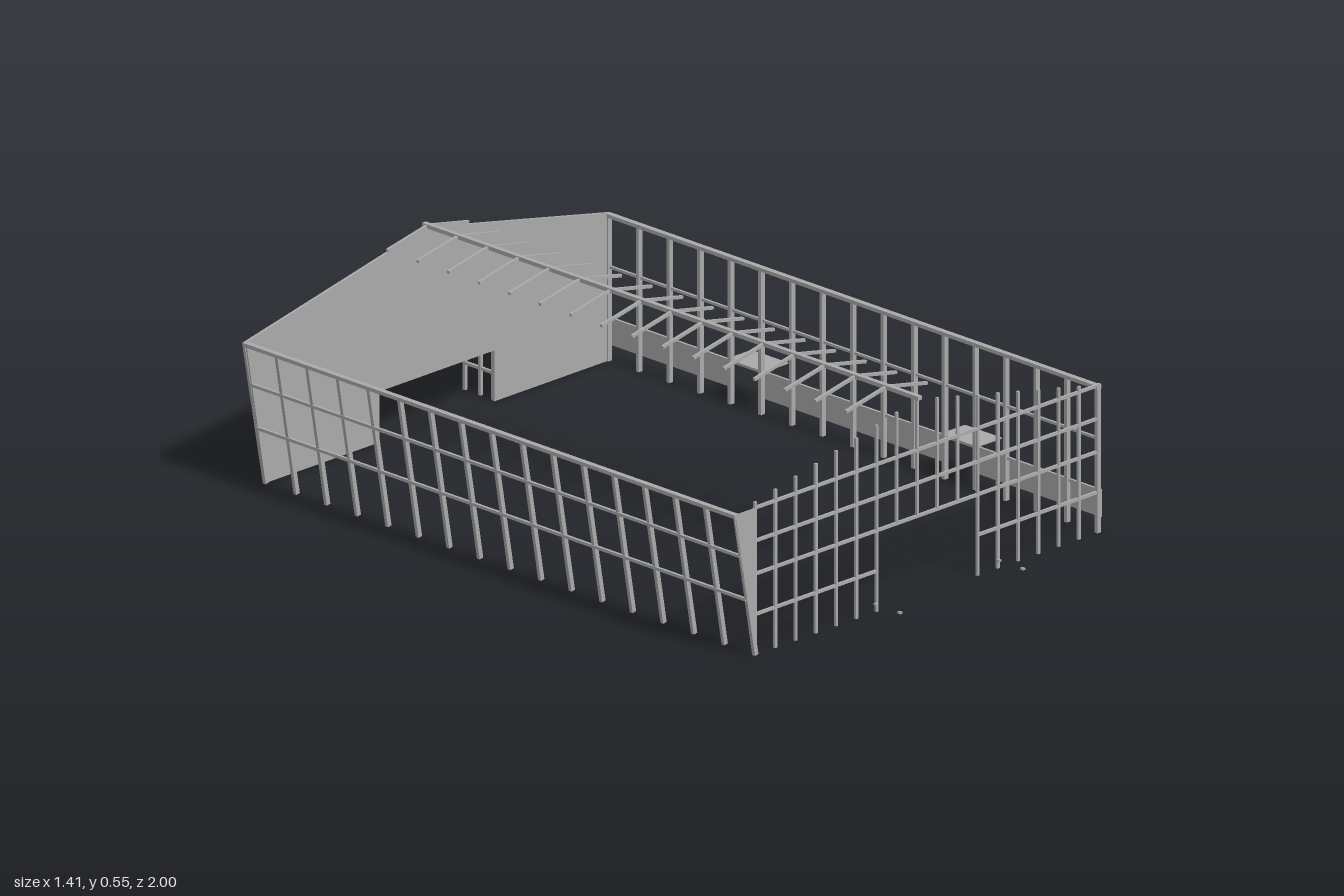
import * as THREE from 'three';

export function createModel() {
  const model = new THREE.Group();
  model.name = 'barnFrame';
  const grey = new THREE.MeshStandardMaterial({ color: 0xaaaaaa, side: THREE.DoubleSide });
  grey.name = 'steel grey';

  const group = (name) => {
    const g = new THREE.Group();
    g.name = name;
    model.add(g);
    return g;
  };
  const add = (parent, name, geometry, x = 0, y = 0, z = 0) => {
    const m = new THREE.Mesh(geometry, grey);
    m.name = name;
    m.position.set(x, y, z);
    parent.add(m);
    return m;
  };
  // Square bar between two points: w and d are its sides across the length
  const up = new THREE.Vector3(0, 1, 0);
  const bar = (parent, name, a, b, w = 0.01, d = w) => {
    const p = new THREE.Vector3(...a), q = new THREE.Vector3(...b);
    const m = add(parent, name, new THREE.BoxGeometry(w, p.distanceTo(q), d));
    m.position.copy(p).add(q).multiplyScalar(0.5);
    m.quaternion.setFromUnitVectors(up, q.sub(p).normalize());
    return m;
  };
  const panel = (parent, name, points, z, depth) => {
    const shape = new THREE.Shape(points.map(([x, y]) => new THREE.Vector2(x, y)));
    return add(parent, name, new THREE.ExtrudeGeometry(shape, { depth, bevelEnabled: false }), 0, 0, z);
  };

  const EAVE = 0.4, RIDGE = 0.538, RX = -0.04, FRONT = 0.872, BACK = -0.885;
  const roofY = (x) => x < RX
    ? EAVE + (RIDGE - EAVE) * (x + 0.705) / (RX + 0.705)
    : RIDGE - (RIDGE - EAVE) * (x - RX) / (0.62 - RX);
  const bays = Array.from({ length: 17 }, (_, i) => FRONT - 0.1096 * i);

  // Solid back gable with a doorway
  panel(model, 'backWall', [
    [-0.63, 0], [-0.215, 0], [-0.215, 0.14], [0.2, 0.14], [0.2, 0],
    [0.622, 0], [0.622, EAVE], [RX, RIDGE], [-0.705, EAVE],
  ], -0.889, 0.008);

  // Front gable: posts rising to the roof line, tied by girts
  const front = group('frontFrame');
  for (let i = 0; i < 18; i++) {
    const x = -0.626 + 0.0731 * i;
    const overDoor = i > 6 && i < 11;
    bar(front, 'frontPost', [x, overDoor ? 0.22 : 0, FRONT], [x, roofY(x), FRONT], 0.008, 0.007);
  }
  for (const y of [0.22, 0.31, 0.4]) {
    bar(front, 'frontGirt', [-0.63, y, FRONT], [0.62, y, FRONT], 0.008, 0.007);
  }
  bar(front, 'lowerGirt', [-0.63, 0.11, FRONT], [-0.187, 0.11, FRONT], 0.008, 0.007);
  bar(front, 'lowerGirt', [0.178, 0.11, FRONT], [0.62, 0.11, FRONT], 0.008, 0.007);
  panel(front, 'frontCornerPanel', [[-0.63, 0], [-0.626, EAVE], [-0.705, EAVE]], FRONT, 0.003);

  // Upright side wall with a low cladding band, broken by two doors
  const left = group('uprightSideFrame');
  for (const z of bays) bar(left, 'sidePost', [0.613, 0, z], [0.613, EAVE, z], 0.014, 0.01);
  bar(left, 'eaveBeam', [0.613, EAVE - 0.004, BACK], [0.613, EAVE - 0.004, FRONT + 0.005], 0.016, 0.01);
  for (const y of [0.255, 0.115]) bar(left, 'sideRail', [0.615, y, BACK], [0.615, y, FRONT], 0.007);
  for (const [z0, z1] of [[-0.885, -0.44], [-0.335, 0.325], [0.43, 0.877]]) {
    add(left, 'lowerBand', new THREE.BoxGeometry(0.003, 0.075, z1 - z0), 0.6215, 0.078, (z0 + z1) / 2);
  }
  for (const z of [-0.395, 0.37]) {
    add(left, 'doorCanopy', new THREE.BoxGeometry(0.085, 0.003, 0.132), 0.663, 0.115, z);
  }

  // Outward leaning side wall
  const right = group('leaningSideFrame');
  const leanX = (y) => -0.63 - 0.07 * y / EAVE;
  for (const z of bays) bar(right, 'leaningPost', [leanX(0) + 0.005, 0, z], [leanX(EAVE) + 0.005, EAVE, z], 0.013, 0.01);
  bar(right, 'eaveBeam', [-0.697, EAVE - 0.004, BACK], [-0.697, EAVE - 0.004, FRONT + 0.005], 0.016, 0.01);
  for (const y of [0.282, 0.158]) {
    bar(right, 'leaningRail', [leanX(y), y, BACK], [leanX(y), y, FRONT], 0.008);
  }

  // Ridge beam with short rafters to either side
  const roof = group('ridgeFrame');
  bar(roof, 'ridgeBeam', [RX, 0.543, -0.896], [RX, 0.543, 0.882], 0.014, 0.011);
  for (const z of bays.slice(1)) {
    for (const x of [-0.188, 0.105]) bar(roof, 'rafter', [RX, 0.543, z], [x, 0.514, z], 0.008);
  }

  // Rear porch: flat canopy on paired posts with a side rail
  const porch = group('rearPorch');
  add(porch, 'porchCanopy', new THREE.BoxGeometry(0.435, 0.004, 0.118), -0.005, 0.14, -0.941);
  for (const x of [-0.217, 0.208]) {
    for (const z of [-0.893, -0.939, -0.995]) bar(porch, 'porchPost', [x, 0, z], [x, 0.14, z], 0.009);
    bar(porch, 'porchRail', [x, 0.073, -0.889], [x, 0.073, -0.995], 0.008);
  }

  // Small fixings in front of the entrance
  const fixings = group('entranceFixings');
  for (const x of [-0.227, 0.217]) {
    for (const z of [0.91, 0.995]) add(fixings, 'fixing', new THREE.BoxGeometry(0.009, 0.005, 0.01), x, 0.04, z);
  }
  return model;
}
